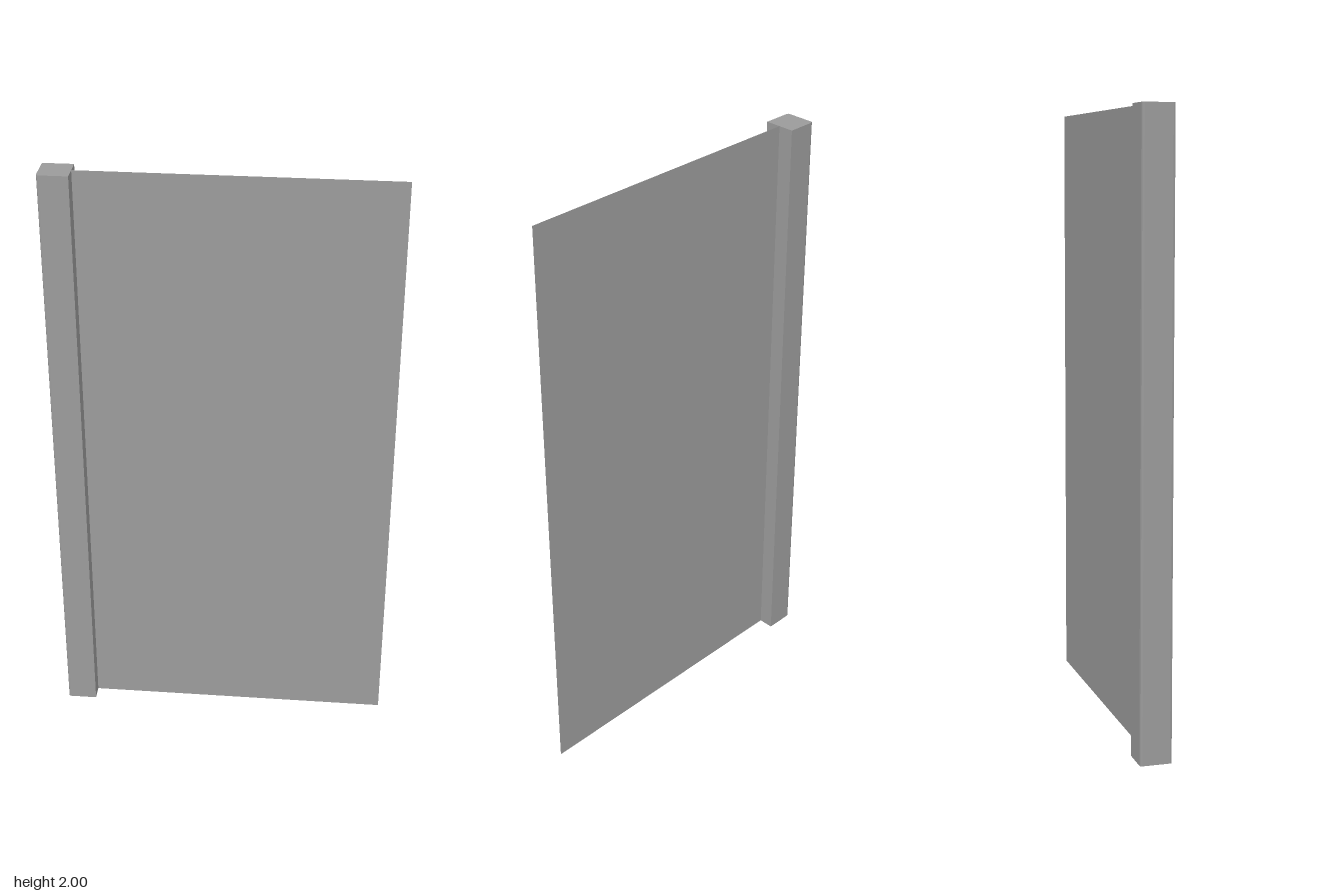
import * as THREE from 'three';

const HEIGHT = 2;
const LEFT = -0.56, RIGHT = 0.56, POST_RIGHT = -0.461;
const HALF_DEPTH = 0.052, CORNER = 0.008;

export function createModel() {
  const group = new THREE.Group();
  const material = new THREE.MeshStandardMaterial({ color: 0x9b9b9b, side: THREE.DoubleSide });

  // Upright post: square section with its two outer corners narrowly eased
  const section = new THREE.Shape();
  section.moveTo(POST_RIGHT, -HALF_DEPTH);
  section.lineTo(POST_RIGHT, HALF_DEPTH);
  section.lineTo(LEFT + CORNER, HALF_DEPTH);
  section.quadraticCurveTo(LEFT, HALF_DEPTH, LEFT, HALF_DEPTH - CORNER);
  section.lineTo(LEFT, -HALF_DEPTH + CORNER);
  section.quadraticCurveTo(LEFT, -HALF_DEPTH, LEFT + CORNER, -HALF_DEPTH);
  section.closePath();
  const postGeometry = new THREE.ExtrudeGeometry(section, {
    depth: HEIGHT, bevelEnabled: false, curveSegments: 2,
  });
  postGeometry.rotateX(-Math.PI / 2);
  const post = new THREE.Mesh(postGeometry, material);
  post.name = 'post';
  group.add(post);

  // Thin sheet running from the post to the free edge
  const panel = new THREE.Mesh(new THREE.PlaneGeometry(RIGHT - POST_RIGHT, HEIGHT), material);
  panel.position.set((RIGHT + POST_RIGHT) / 2, HEIGHT / 2, 0);
  panel.name = 'panel';
  group.add(panel);

  return group;
}
